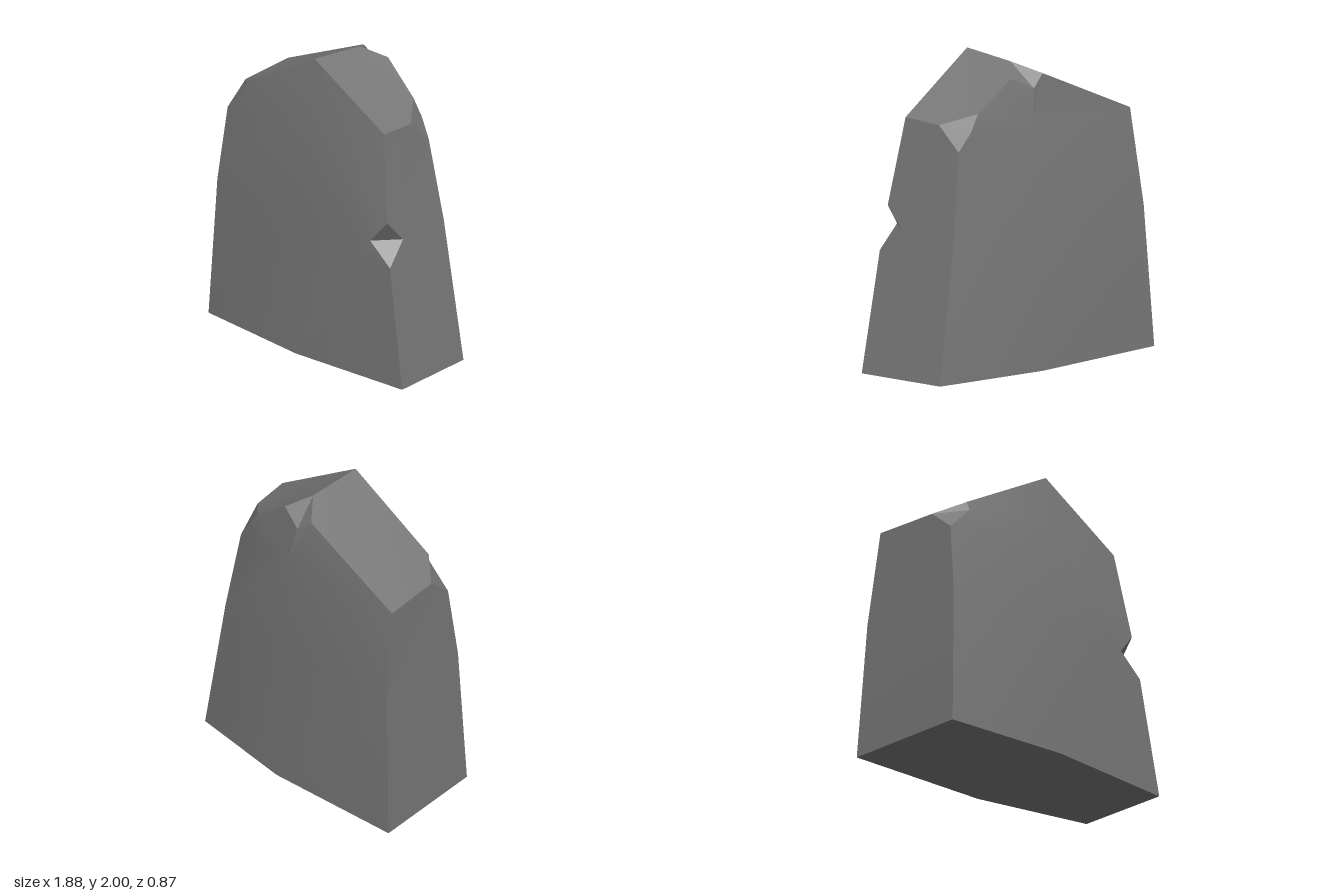
import * as THREE from 'three';
import { toCreasedNormals } from 'three/addons/utils/BufferGeometryUtils.js';

// Corners of the stone slab, grouped by feature
const P = {
  // base outline
  a0: [-0.945, 0, -0.415], b0: [0.05, 0, -0.435], c0: [0.83, 0, -0.31],
  d0: [0.94, 0, 0.305], e0: [0.05, 0, 0.43], f0: [-0.815, 0, 0.415],
  // middle bulge
  a1: [-0.89, 0.93, -0.375], b1: [0.05, 0.93, -0.395], c1: [0.68, 0.93, -0.275],
  e1: [0.05, 0.93, 0.4], f1: [-0.775, 0.93, 0.375],
  // shoulders and peak
  a2: [-0.85, 1.56, -0.29], b2: [0.05, 1.58, -0.335], e2: [0.05, 1.62, 0.34],
  g: [0.65, 1.65, 0.205], peak: [0.05, 2, 0.27],
  // notch in the front edge
  n1: [0.75, 1.08, 0.265], n2: [0.63, 0.935, 0.305], n3: [0.8, 0.79, 0.285], n4: [0.75, 0.935, 0.13],
  // chipped front shoulder
  s1: [-0.75, 1.42, 0.31], s2: [-0.77, 1.56, 0.14], s3: [-0.6, 1.64, 0.285], s4: [-0.59, 1.58, 0.3],
  // chipped back of the peak
  k1: [0.04, 1.975, -0.12], k2: [-0.1, 1.9, -0.275], k3: [0, 1.82, -0.3], k4: [0.16, 1.9, -0.255],
  // chipped back shoulder
  r1: [0.605, 1.635, -0.06], r2: [0.43, 1.71, -0.235], r3: [0.59, 1.48, -0.225], r4: [0.5, 1.6, -0.245],
};

// Facets, counter-clockwise from outside; each is a fan from its first corner
const FACETS = [
  // front
  'f0 e0 e1 f1', 'e0 d0 n3 n2 e1', 'e2 e1 n2 n1 g peak', 'e2 peak s3 s4 s1 f1 e1',
  // back
  'c0 b0 b1 c1', 'b0 a0 a1 b1', 'b2 k3 k4 r2 r4 r3 c1 b1', 'b2 b1 a1 a2 k2 k3',
  // sides
  'a0 f0 f1 a1', 'a1 f1 s1 s2 a2', 'd0 c0 c1 n4 n3', 'n4 c1 r3 r1 g n1',
  // sloping top and base
  'peak g r1 r2 k4 k1', 'peak k1 k2 a2 s2 s3', 'a0 b0 c0 d0 e0 f0',
  // notch and chips
  'n1 n2 n4', 'n2 n3 n4', 's2 s1 s4 s3', 'k1 k4 k3 k2', 'r1 r3 r4 r2',
];

function facetGeometry(facets) {
  const positions = [];
  for (const facet of facets) {
    const c = facet.split(' ').map((name) => P[name]);
    for (let i = 1; i < c.length - 1; i++) positions.push(...c[0], ...c[i], ...c[i + 1]);
  }
  const geometry = new THREE.BufferGeometry();
  geometry.setAttribute('position', new THREE.Float32BufferAttribute(positions, 3));
  return toCreasedNormals(geometry, 0.33); // soft faces, sharp edges
}

export function createModel() {
  const group = new THREE.Group();
  group.name = 'standingStone';
  const stone = new THREE.MeshStandardMaterial({ color: 0x787878 });
  stone.name = 'stoneGrey';
  const slab = new THREE.Mesh(facetGeometry(FACETS), stone);
  slab.name = 'stoneSlab';
  group.add(slab);
  return group;
}
